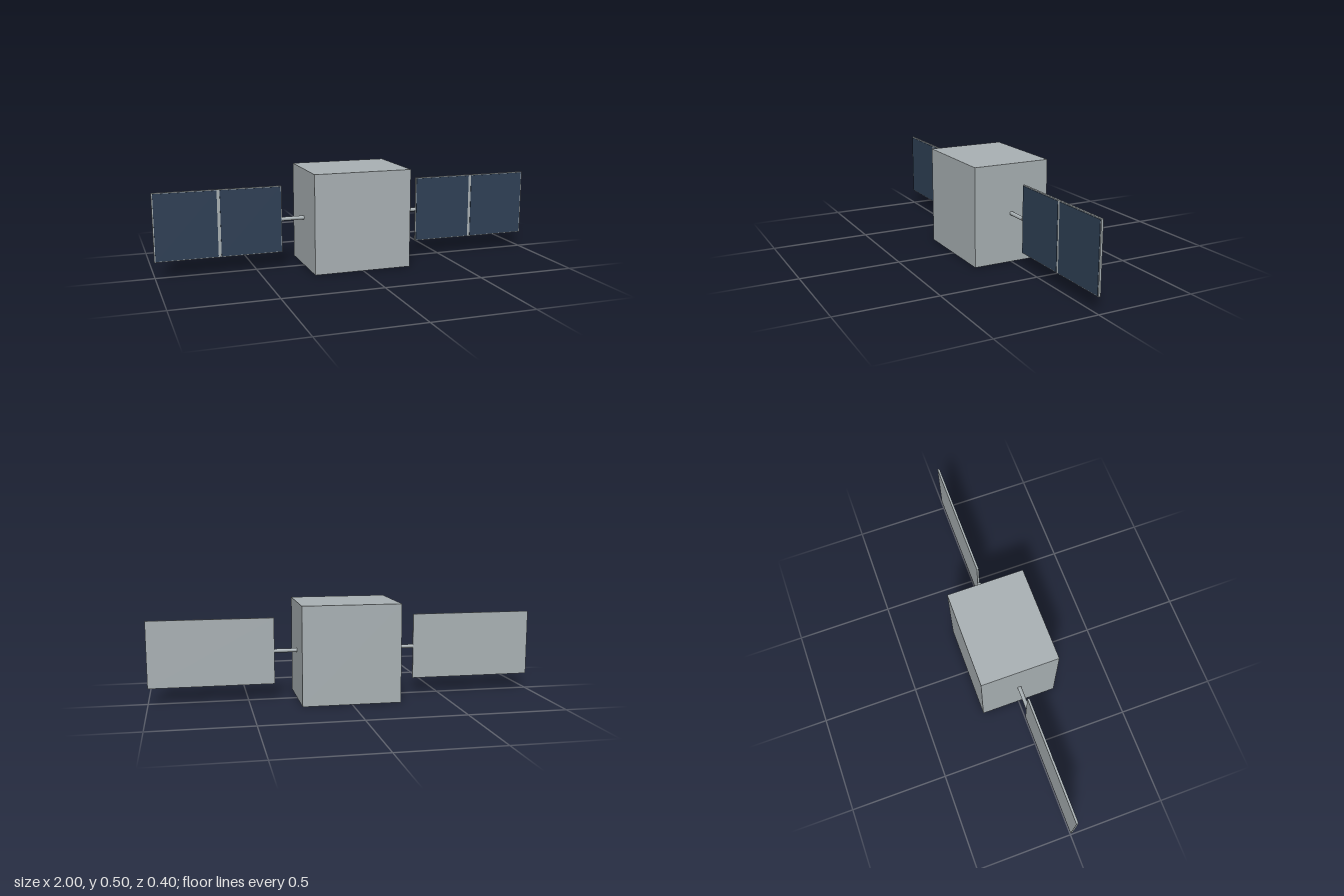
import * as THREE from 'three';

const grey = new THREE.MeshStandardMaterial({ color: 0xaab2b5 });
grey.name = 'satellite grey';
const navy = new THREE.MeshStandardMaterial({ color: 0x2f4056 });
navy.name = 'solar cell navy';

const MID_Y = 0.25;

function add(parent, name, geometry, material, x, y, z) {
  const mesh = new THREE.Mesh(geometry, material);
  mesh.name = name;
  mesh.position.set(x, y, z);
  parent.add(mesh);
  return mesh;
}

// One wing: boom, panel and two solar cells on the front
function createWing(side) {
  const wing = new THREE.Group();
  wing.name = side > 0 ? 'leftWing' : 'rightWing';

  const boom = add(wing, 'boom', new THREE.CylinderGeometry(0.01, 0.01, 0.12, 16), grey, side * 0.305, MID_Y, 0);
  boom.rotation.z = Math.PI / 2;

  add(wing, 'panel', new THREE.BoxGeometry(0.635, 0.34, 0.01), grey, side * 0.6825, MID_Y, -0.001);

  for (const x of [0.5215, 0.8415]) {
    add(wing, 'solarCell', new THREE.BoxGeometry(0.305, 0.332, 0.002), navy, side * x, MID_Y, 0.005);
  }
  return wing;
}

export function createModel() {
  const model = new THREE.Group();
  model.name = 'satellite';
  add(model, 'body', new THREE.BoxGeometry(0.5, 0.5, 0.4), grey, 0, MID_Y, 0);
  for (const side of [1, -1]) model.add(createWing(side));
  return model;
}
